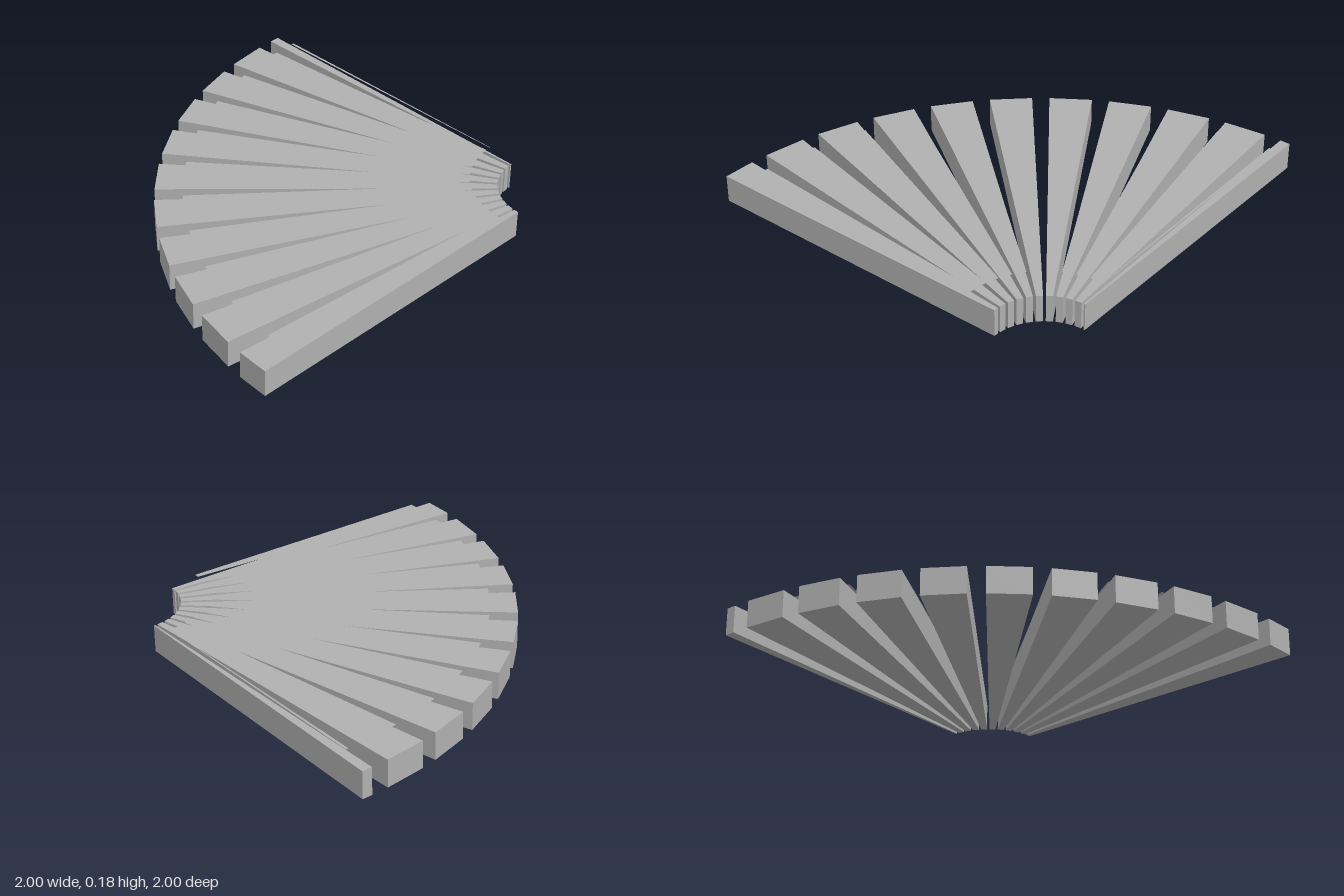
import * as THREE from 'three';

// Quarter-circle fan of wedge slats, each with a thin plate hovering above it
const COUNT = 11, STEP = 9, FIRST = -1.55, WIDTH = 6.4;
const INNER = 0.29, OUTER = 2.0, HEIGHT = 0.145;
const PLATE_INNER = 0.43, PLATE_OUTER = 1.857, PLATE_Y = 0.18, PLATE_MARGIN = 0.55;

// Straight-ended wedge around the pivot corner (x = 1, z = 1), angles in degrees from -x towards -z
function wedge(r0, r1, a0, a1) {
  const p = (r, a) => {
    const t = THREE.MathUtils.degToRad(a);
    return new THREE.Vector2(1 - r * Math.cos(t), r * Math.sin(t) - 1);
  };
  return new THREE.Shape([p(r0, a0), p(r1, a0), p(r1, a1), p(r0, a1)]);
}

export function createModel() {
  const group = new THREE.Group();
  group.name = 'slatFan';
  const grey = new THREE.MeshStandardMaterial({ color: 0xb0b0b0, side: THREE.DoubleSide });
  grey.name = 'grey';

  for (let i = 0; i < COUNT; i++) {
    // The end slats are cut off at the straight sides of the quarter circle
    const a0 = Math.max(0, FIRST + STEP * i);
    const a1 = Math.min(90, FIRST + STEP * i + WIDTH);

    const slatGeometry = new THREE.ExtrudeGeometry(wedge(INNER, OUTER, a0, a1), { depth: HEIGHT, bevelEnabled: false });
    slatGeometry.rotateX(-Math.PI / 2);
    const slat = new THREE.Mesh(slatGeometry, grey);
    slat.name = `slat${i + 1}`;

    const plateGeometry = new THREE.ShapeGeometry(
      wedge(PLATE_INNER, PLATE_OUTER, a0 + PLATE_MARGIN, a1 - PLATE_MARGIN));
    plateGeometry.rotateX(-Math.PI / 2);
    const plate = new THREE.Mesh(plateGeometry, grey);
    plate.position.y = PLATE_Y;
    plate.name = `topPlate${i + 1}`;

    group.add(slat, plate);
  }
  return group;
}
